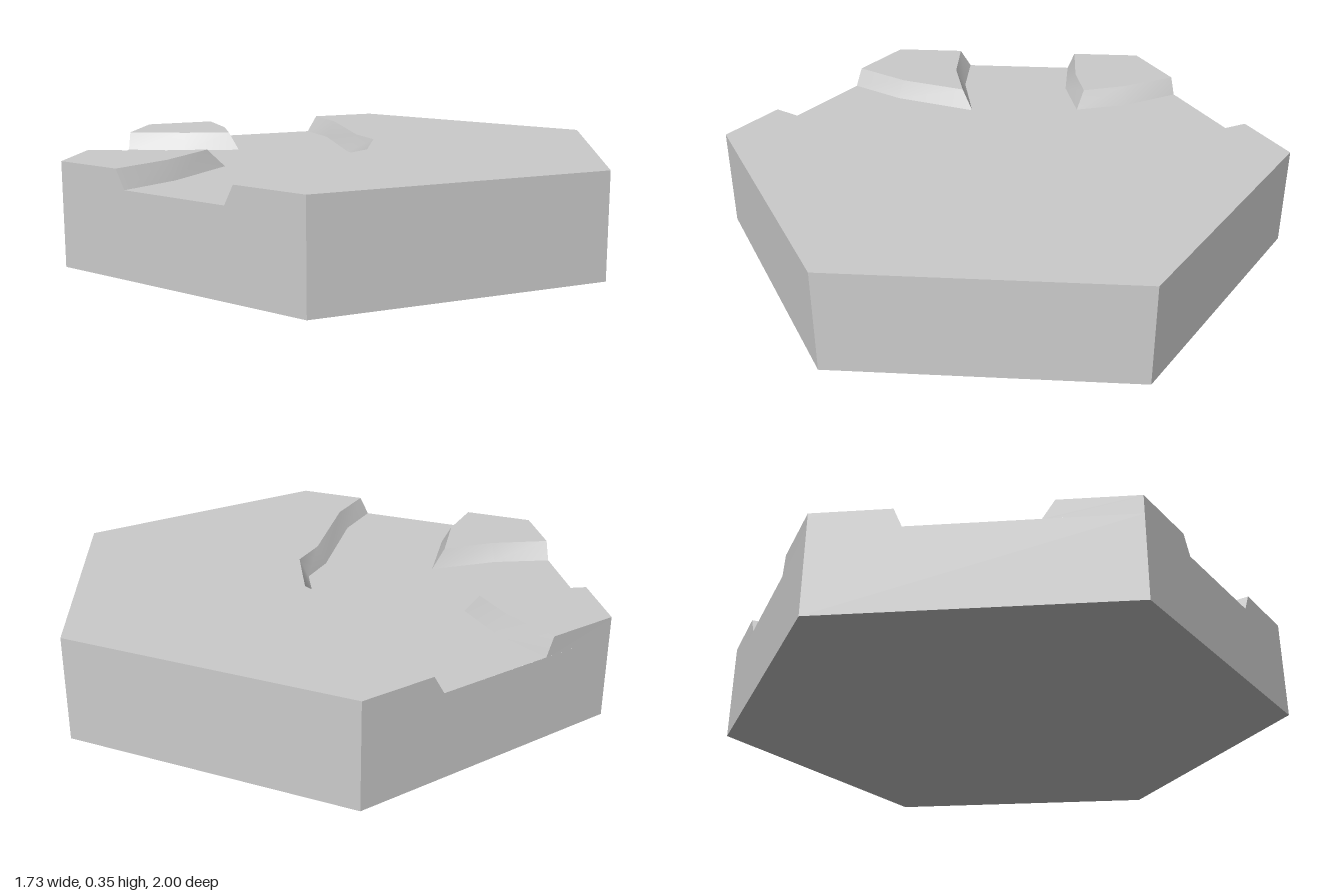
import * as THREE from 'three';
import { toCreasedNormals } from 'three/addons/utils/BufferGeometryUtils.js';

const BED = 0.286, TOP = 0.35, W = 0.866;

// Outlines are lists of [x, z], anticlockwise seen from above.
const HEX = [[0, -1], [-W, -0.5], [-W, 0.5], [0, 1], [W, 0.5], [W, -0.5]];

// Each river bank has a foot on the bed and a rim on the land, point for point.
const BANKS = {
  front: {
    foot: [[-W, 0.203], [-0.647, 0.203], [-0.226, 0.108], [-0.074, 0.108],
      [0.138, -0.016], [0.206, -0.14], [0.506, -0.468], [0.608, -0.649]],
    rim: [[-W, 0.238], [-0.646, 0.238], [-0.222, 0.141], [-0.067, 0.141],
      [0.164, 0.008], [0.238, -0.122], [0.534, -0.447], [0.643, -0.629]],
  },
  back: {
    foot: [[0.249, -0.856], [0.143, -0.664], [0, -0.512], [-0.143, -0.664], [-0.249, -0.856]],
    rim: [[0.226, -0.87], [0.111, -0.685], [0, -0.562], [-0.111, -0.685], [-0.226, -0.87]],
  },
  left: {
    foot: [[-0.608, -0.649], [-0.505, -0.468], [-0.335, -0.278], [-0.646, -0.209], [-W, -0.209]],
    rim: [[-0.643, -0.629], [-0.534, -0.447], [-0.397, -0.303], [-0.646, -0.245], [-W, -0.245]],
  },
};

// Flat face filling an outline at height y
function cap(outline, y, faceDown = false) {
  const flat = outline.map(([x, z]) => new THREE.Vector2(x, -z));
  return THREE.ShapeUtils.triangulateShape(flat, [])
    .flatMap((t) => (faceDown ? [t[0], t[2], t[1]] : t))
    .flatMap((i) => [outline[i][0], y, outline[i][1]]);
}

// Ring of quads joining a lower outline to an upper one
function sides(lower, y0, upper, y1) {
  return lower.flatMap((a, i) => {
    const j = (i + 1) % lower.length;
    const [b, c, d] = [lower[j], upper[j], upper[i]];
    const A = [a[0], y0, a[1]], B = [b[0], y0, b[1]];
    const C = [c[0], y1, c[1]], D = [d[0], y1, d[1]];
    return [...A, ...B, ...C, ...A, ...C, ...D];
  });
}

export function createModel() {
  const group = new THREE.Group();
  const material = new THREE.MeshStandardMaterial({ color: 0xcccccc });

  const add = (name, positions) => {
    const geometry = new THREE.BufferGeometry();
    geometry.setAttribute('position', new THREE.Float32BufferAttribute(positions, 3));
    geometry.computeVertexNormals();
    const mesh = new THREE.Mesh(toCreasedNormals(geometry, 0.6), material);
    mesh.name = name;
    group.add(mesh);
  };

  // Hexagonal base below the river bed
  add('base', [...sides(HEX, 0, HEX, BED), ...cap(HEX, 0, true)]);

  // River bed between the three banks
  add('riverBed', cap([...BANKS.front.foot, ...BANKS.back.foot, ...BANKS.left.foot], BED));

  // Raised land: outer tile corners closed by a sloping bank
  const addLand = (name, corners, bank) => {
    const lower = [...corners, ...[...bank.foot].reverse()];
    const upper = [...corners, ...[...bank.rim].reverse()];
    add(name, [...sides(lower, BED, upper, TOP), ...cap(upper, TOP)]);
  };
  addLand('frontLand', HEX.slice(2), BANKS.front);
  addLand('backLand', [HEX[0]], BANKS.back);
  addLand('backRightLand', [HEX[1]], BANKS.left);

  return group;
}
